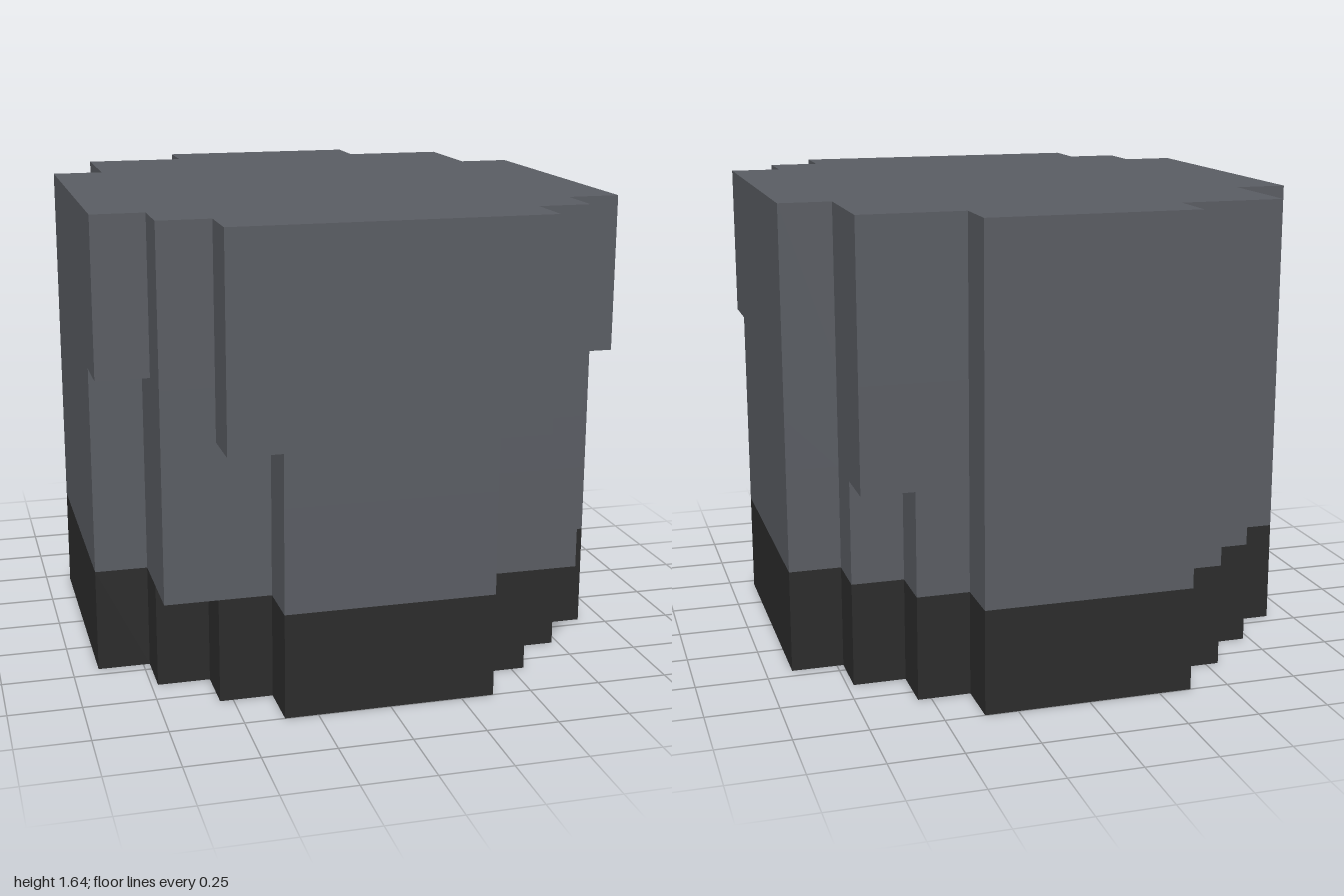
import * as THREE from 'three';

const U = 2 / 11; // one block

// Each layer: bottom and top in blocks, then [half width, z where that width ends], front to back
const LAYERS = [
  { name: 'darkBase', dark: true, from: 0, to: 2,
    steps: [[2, 4.5], [3, 3.5], [4, 2.5], [5, -2.5], [4, -3.5], [3, -4.5], [2, -5.5]] },
  { name: 'lowerBody', from: 2, to: 4,
    steps: [[2, 4.5], [4, 2.5], [5, -2.5], [4, -3.5], [3, -4.5], [2, -5.5]] },
  { name: 'middleBody', from: 4, to: 5,
    steps: [[2, 4.5], [4, 2.5], [5, -2.5], [4, -4.5], [2, -5.5]] },
  { name: 'frontOverhang', from: 5, to: 6,
    steps: [[3, 4.5], [4, 2.5], [5, -2.5], [4, -4.5], [2, -5.5]] },
  { name: 'upperBody', from: 6, to: 9,
    steps: [[3, 4.5], [4, 3.5], [5, -2.5], [4, -4.5], [2, -5.5]] },
];

// Stepped outline mirrored across x = 0
function outline(steps) {
  const half = [];
  let z = 5.5;
  for (const [w, end] of steps) {
    half.push([w, z], [w, end]);
    z = end;
  }
  const mirrored = half.map(([x, zz]) => [-x, zz]).reverse();
  return new THREE.Shape([...half, ...mirrored].map(([x, zz]) => new THREE.Vector2(x * U, -zz * U)));
}

export function createModel() {
  const grey = new THREE.MeshStandardMaterial({ color: 0x5a5d63 });
  grey.name = 'slate grey';
  const black = new THREE.MeshStandardMaterial({ color: 0x2c2c2c });
  black.name = 'charcoal';

  const model = new THREE.Group();
  model.name = 'blockyHairCap';
  for (const { name, dark, from, to, steps } of LAYERS) {
    const geometry = new THREE.ExtrudeGeometry(outline(steps), { depth: (to - from) * U, bevelEnabled: false });
    geometry.rotateX(-Math.PI / 2);
    const mesh = new THREE.Mesh(geometry, dark ? black : grey);
    mesh.name = name;
    mesh.position.y = from * U;
    model.add(mesh);
  }
  return model;
}
